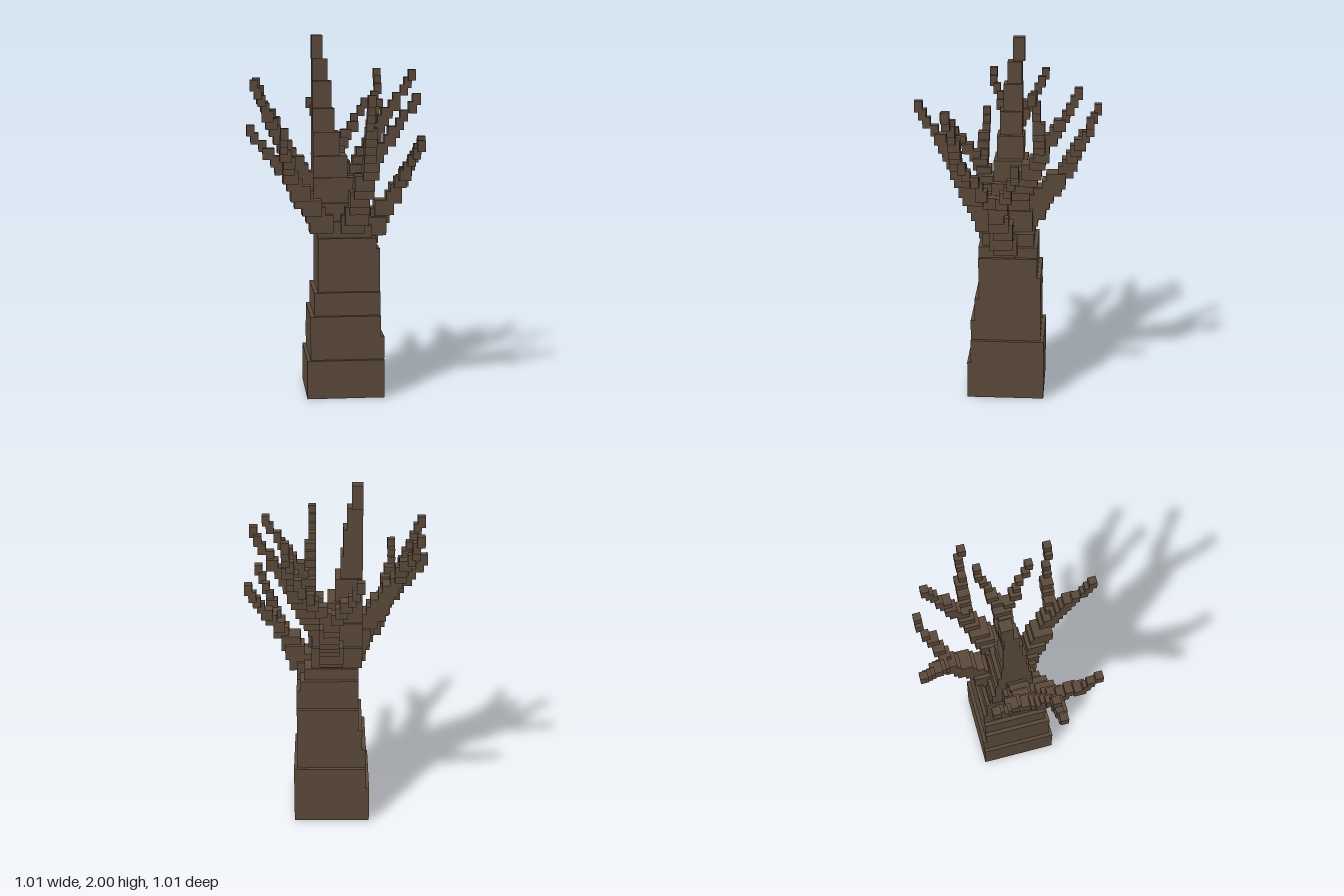
import * as THREE from 'three';

const V = 0.0215; // block unit
const bark = new THREE.MeshStandardMaterial({ color: 0x5a4939, flatShading: true });
const snap = (v, origin) => origin + Math.round((v - origin) / V) * V;

function block(parent, name, x0, x1, y0, y1, z0, z1) {
  const mesh = new THREE.Mesh(new THREE.BoxGeometry(x1 - x0, y1 - y0, z1 - z0), bark);
  mesh.position.set((x0 + x1) / 2, (y0 + y1) / 2, (z0 + z1) / 2);
  mesh.name = name;
  parent.add(mesh);
}

// Stepped run of blocks from a to b, tapering from n0 to n1 units wide
function steppedRun(parent, name, a, b, n0, n1) {
  const start = new THREE.Vector3(...a), end = new THREE.Vector3(...b), p = new THREE.Vector3();
  const steps = Math.max(2, Math.round((end.y - start.y) / (2 * V)));
  for (let i = 0; i <= steps; i++) {
    const t = i / steps;
    p.lerpVectors(start, end, t);
    const w = Math.round(n0 + (n1 - n0) * t) * V;
    const x = snap(p.x - w / 2, -0.185), z = snap(p.z - w / 2, -0.2);
    block(parent, name, x, x + w, p.y - Math.max(0.062, w * 0.8), p.y, z, z + w);
  }
}

export function createModel() {
  const tree = new THREE.Group();
  tree.name = 'tree';

  // Trunk and leader: [bottom, top, x min, x max, z min, z max]
  const trunk = new THREE.Group();
  trunk.name = 'trunk';
  [
    [0, 0.215, -0.185, 0.245, -0.2, 0.23],
    [0.215, 0.345, -0.165, 0.245, -0.2, 0.21],
    [0.345, 0.46, -0.165, 0.225, -0.18, 0.21],
    [0.46, 0.59, -0.143, 0.225, -0.18, 0.187],
    [0.59, 0.72, -0.12, 0.225, -0.18, 0.165],
    [0.72, 0.83, -0.12, 0.225, -0.16, 0.165],
    [0.83, 0.89, -0.12, 0.205, -0.16, 0.165],
    [0.89, 0.96, -0.12, 0.18, -0.14, 0.145],
    [0.96, 1.08, -0.14, 0.14, -0.13, 0.12],
    [1.08, 1.22, -0.14, 0.09, -0.11, 0.1],
    [1.22, 1.34, -0.14, 0.05, -0.095, 0.09],
    [1.34, 1.47, -0.14, 0.01, -0.075, 0.075],
    [1.47, 1.6, -0.14, -0.02, -0.065, 0.06],
    [1.6, 1.75, -0.14, -0.035, -0.065, 0.04],
    [1.75, 1.87, -0.14, -0.055, -0.06, 0.02],
    [1.87, 2, -0.14, -0.08, -0.075, -0.01],
  ].forEach(([y0, y1, x0, x1, z0, z1]) => block(trunk, 'trunkSection', x0, x1, y0, y1, z0, z1));
  tree.add(trunk);

  // Limbs: root, fork, and the two twig tips
  const limbs = {
    backLimb: [[0.03, 1.08, -0.1], [0.03, 1.36, -0.33], [-0.12, 1.63, -0.49], [0.205, 1.63, -0.445]],
    backLeftLimb: [[0.06, 1.14, -0.03], [0.22, 1.46, -0.17], [0.27, 1.805, -0.38], [0.445, 1.805, -0.145]],
    leftLimb: [[0.16, 0.95, 0.02], [0.3, 1.14, 0.05], [0.49, 1.435, -0.055], [0.445, 1.435, 0.225]],
    frontLimb: [[0.08, 1.02, 0.1], [0.16, 1.34, 0.27], [0.14, 1.695, 0.49], [0.4, 1.695, 0.315]],
    frontRightLimb: [[-0.06, 0.98, 0.08], [-0.28, 1.27, 0.19], [-0.315, 1.52, 0.4], [-0.49, 1.52, 0.16]],
    rightLimb: [[-0.07, 1.08, 0], [-0.3, 1.42, 0], [-0.45, 1.76, -0.185], [-0.47, 1.76, 0.13]],
  };
  for (const [name, [root, fork, tipA, tipB]] of Object.entries(limbs)) {
    const limb = new THREE.Group();
    limb.name = name;
    steppedRun(limb, 'limbBlock', root, fork, 6, 4);
    steppedRun(limb, 'twigBlock', fork, tipA, 3, 2);
    steppedRun(limb, 'twigBlock', fork, tipB, 3, 2);
    tree.add(limb);
  }
  return tree;
}
